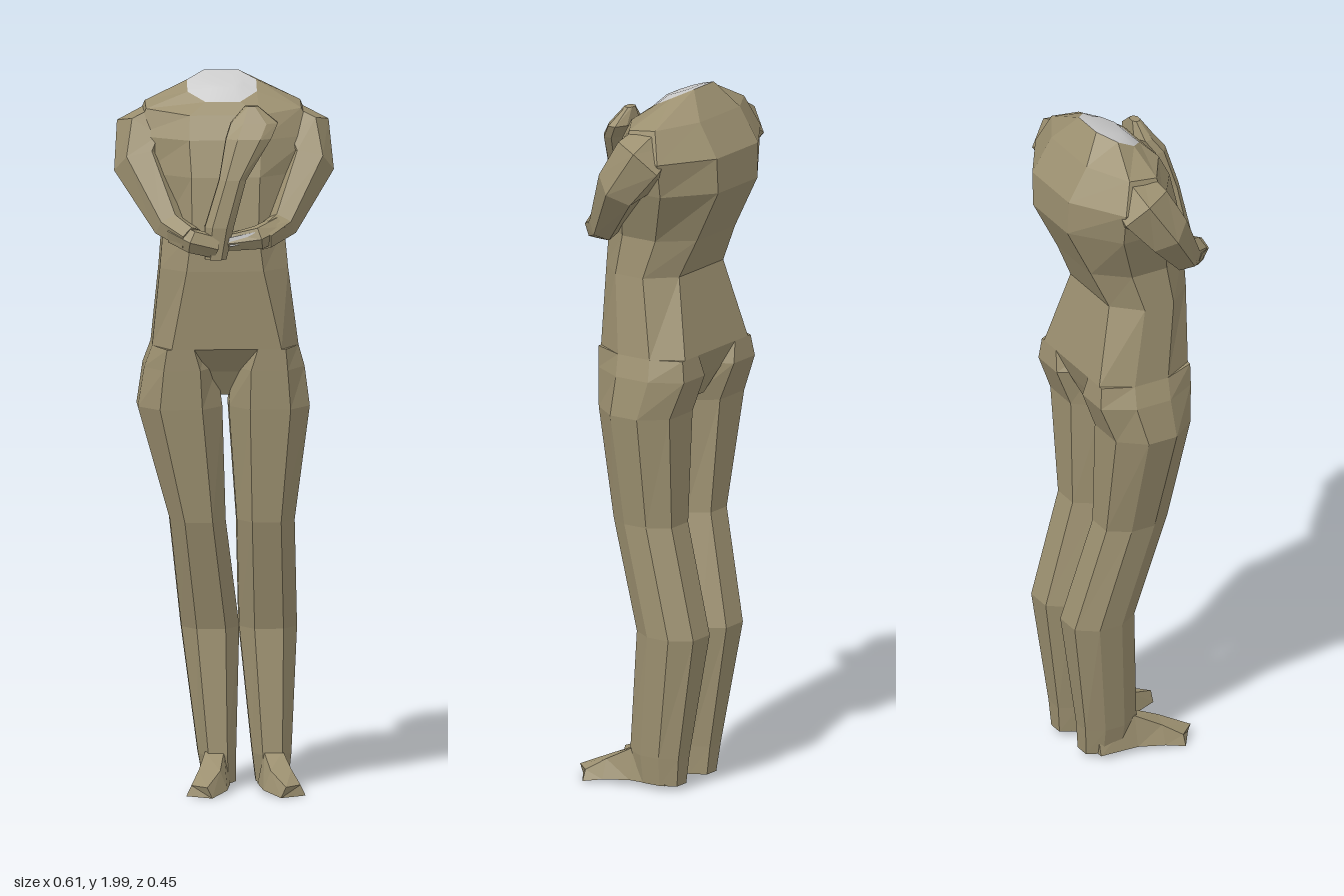
import * as THREE from 'three';
import { mergeVertices } from 'three/addons/utils/BufferGeometryUtils.js';

const cloth = new THREE.MeshStandardMaterial({ color: 0x9c9070, flatShading: true });
const grey = new THREE.MeshStandardMaterial({ color: 0xcccccc, side: THREE.DoubleSide });

// Skins a list of equal-length rings of [x, y, z], turned so that faces look outward.
function loft(name, rings, capStart = true, capEnd = true) {
  const n = rings[0].length, tris = [];
  for (let r = 0; r < rings.length - 1; r++) {
    for (let i = 0; i < n; i++) {
      const j = (i + 1) % n, a = rings[r], b = rings[r + 1];
      tris.push([a[i], a[j], b[j]], [a[i], b[j], b[i]]);
    }
  }
  const last = rings[rings.length - 1];
  for (let i = 1; i < n - 1; i++) {
    if (capStart) tris.push([rings[0][0], rings[0][i + 1], rings[0][i]]);
    if (capEnd) tris.push([last[0], last[i], last[i + 1]]);
  }
  const o = new THREE.Vector3(...rings[0][0]);
  let volume = 0;
  for (const t of tris) {
    const [a, b, c] = t.map((p) => new THREE.Vector3(...p).sub(o));
    volume += a.dot(b.cross(c));
  }
  const pos = tris.flatMap((t) => (volume < 0 ? [t[0], t[2], t[1]] : t)).flat();
  let geo = new THREE.BufferGeometry();
  geo.setAttribute('position', new THREE.Float32BufferAttribute(pos, 3));
  geo = mergeVertices(geo);
  geo.computeVertexNormals();
  const mesh = new THREE.Mesh(geo, cloth);
  mesh.name = name;
  return mesh;
}

// Eight-sided level ring; slope lifts the rear edge, corner sets the width of the front and back flats.
function ring(y, x0, x1, back, front, slope = 0, corner = 0.5) {
  const cx = (x0 + x1) / 2, hx = (x1 - x0) / 2, cz = (back + front) / 2, hz = (front - back) / 2;
  const half = [[corner, 1], [1, 0.35], [1, -0.4], [corner, -1]];
  const unit = [...half, ...half.map(([u, v]) => [-u, v]).reverse()];
  return unit.map(([u, v]) => [cx + u * hx, y - v * slope, cz + v * hz]);
}

// Six-sided limb along a path of [x, y, z, radius].
function limb(name, path) {
  const pts = path.map((p) => new THREE.Vector3(p[0], p[1], p[2]));
  const rings = pts.map((p, k) => {
    const dir = pts[Math.min(k + 1, pts.length - 1)].clone().sub(pts[Math.max(k - 1, 0)]).normalize();
    const side = new THREE.Vector3(0, 0.5, 1).cross(dir).normalize();
    const up = dir.clone().cross(side);
    return Array.from({ length: 6 }, (_, i) => {
      const a = (i * Math.PI) / 3, r = path[k][3];
      return p.clone().addScaledVector(side, Math.cos(a) * r).addScaledVector(up, Math.sin(a) * r).toArray();
    });
  });
  return loft(name, rings);
}

export function createModel() {
  const model = new THREE.Group();

  // Torso, from the crotch up to the sloping neck opening
  const neck = ring(1.963, -0.1, 0.092, -0.108, 0.03, 0.035);
  model.add(loft('torso', [
    ring(1.11, -0.03, 0.03, -0.1, 0.03),
    ring(1.18, -0.1, 0.1, -0.13, 0.07),
    ring(1.25, -0.2, 0.205, -0.155, 0.128, 0, 0.75),
    ring(1.47, -0.18, 0.175, -0.1, 0.145, 0, 0.6),
    ring(1.58, -0.17, 0.165, -0.15, 0.145, 0, 0.55),
    ring(1.73, -0.225, 0.225, -0.225, 0.125, 0, 0.42),
    ring(1.83, -0.25, 0.25, -0.224, 0.098, 0, 0.4),
    ring(1.91, -0.215, 0.215, -0.165, 0.065, 0.015, 0.45),
    neck,
  ], true, false));

  // Gently domed neck cap
  const cap = loft('neckCap', [neck, ring(1.978, -0.06, 0.055, -0.085, -0.005, 0.015)], false, true);
  cap.material = grey;
  model.add(cap);

  // Legs: each row is y, outer and inner x, back and front z
  const legs = {
    right: [
      [0.02, -0.055, 0.035, -0.13, 0.015], [0.1, -0.07, 0.035, -0.137, 0.025],
      [0.45, -0.115, 0.045, -0.19, 0.0], [0.76, -0.15, 0.004, -0.11, 0.085],
      [1.08, -0.24, -0.006, -0.12, 0.118], [1.19, -0.222, -0.02, -0.163, 0.125], [1.25, -0.2, -0.05, -0.155, 0.128],
    ],
    left: [
      [0.02, 0.09, 0.18, -0.13, 0.015], [0.1, 0.08, 0.188, -0.137, 0.025],
      [0.45, 0.045, 0.205, -0.19, 0.0], [0.76, 0.035, 0.195, -0.11, 0.085],
      [1.08, 0.012, 0.236, -0.12, 0.118], [1.19, 0.02, 0.222, -0.163, 0.125], [1.25, 0.05, 0.205, -0.155, 0.128],
    ],
  };
  for (const [side, rows] of Object.entries(legs)) {
    model.add(loft(side + 'Leg', rows.map((r) => ring(...r))));
  }

  // Feet: wedges flaring outward to a slanted toe
  const foot = (name, x, s) => {
    const section = (xa, za, xb, zb, y0, y1) => [
      [x + s * xa, y0, za], [x + s * xb, y0, zb], [x + s * (xb * 0.8 + xa * 0.2), y1, zb], [x + s * (xb * 0.2 + xa * 0.8), y1, za],
    ];
    model.add(loft(name, [
      section(-0.04, -0.1, 0.04, -0.1, 0.02, 0.08),
      section(-0.042, 0.015, 0.045, 0.015, 0.02, 0.11),
      section(-0.03, 0.11, 0.068, 0.09, 0.015, 0.07),
      section(0.015, 0.192, 0.085, 0.145, 0.005, 0.035),
    ]));
  };
  foot('rightFoot', -0.025, -1);
  foot('leftFoot', 0.135, 1);

  // Upper arms, reaching forward and down to the elbows
  for (const [side, s] of [['left', 1], ['right', -1]]) {
    model.add(limb(side + 'UpperArm', [
      [s * 0.14, 1.87, -0.07, 0.07], [s * 0.22, 1.82, -0.055, 0.088],
      [s * 0.234, 1.75, 0.0, 0.072], [s * 0.155, 1.595, 0.115, 0.045], [s * 0.098, 1.568, 0.18, 0.036],
    ]));
  }

  // Left forearm, lying across the waist under the other elbow
  model.add(limb('leftForearm', [
    [0.14, 1.59, 0.14, 0.035], [0.088, 1.572, 0.188, 0.035], [0.02, 1.558, 0.165, 0.027], [-0.05, 1.55, 0.15, 0.018],
  ]));
  const cuff = new THREE.Mesh(new THREE.BoxGeometry(0.08, 0.025, 0.012), grey);
  cuff.name = 'leftCuff';
  cuff.position.set(0.045, 1.568, 0.192);
  cuff.rotation.set(0, -0.3, 0.25);
  model.add(cuff);

  // Right forearm, folded at the elbow, with a broad hand raised to the chin
  model.add(limb('rightElbow', [
    [-0.14, 1.58, 0.14, 0.035], [-0.092, 1.562, 0.188, 0.036], [-0.03, 1.545, 0.175, 0.034],
  ]));
  model.add(loft('rightForearmAndHand', [
    ring(1.51, -0.06, 0.0, 0.14, 0.195),
    ring(1.6, -0.06, 0.02, 0.14, 0.2),
    ring(1.73, -0.02, 0.055, 0.135, 0.185),
    ring(1.84, 0.0, 0.125, 0.095, 0.16),
    ring(1.88, 0.015, 0.145, 0.07, 0.13),
    ring(1.925, 0.055, 0.09, 0.075, 0.1),
  ]));

  return model;
}
